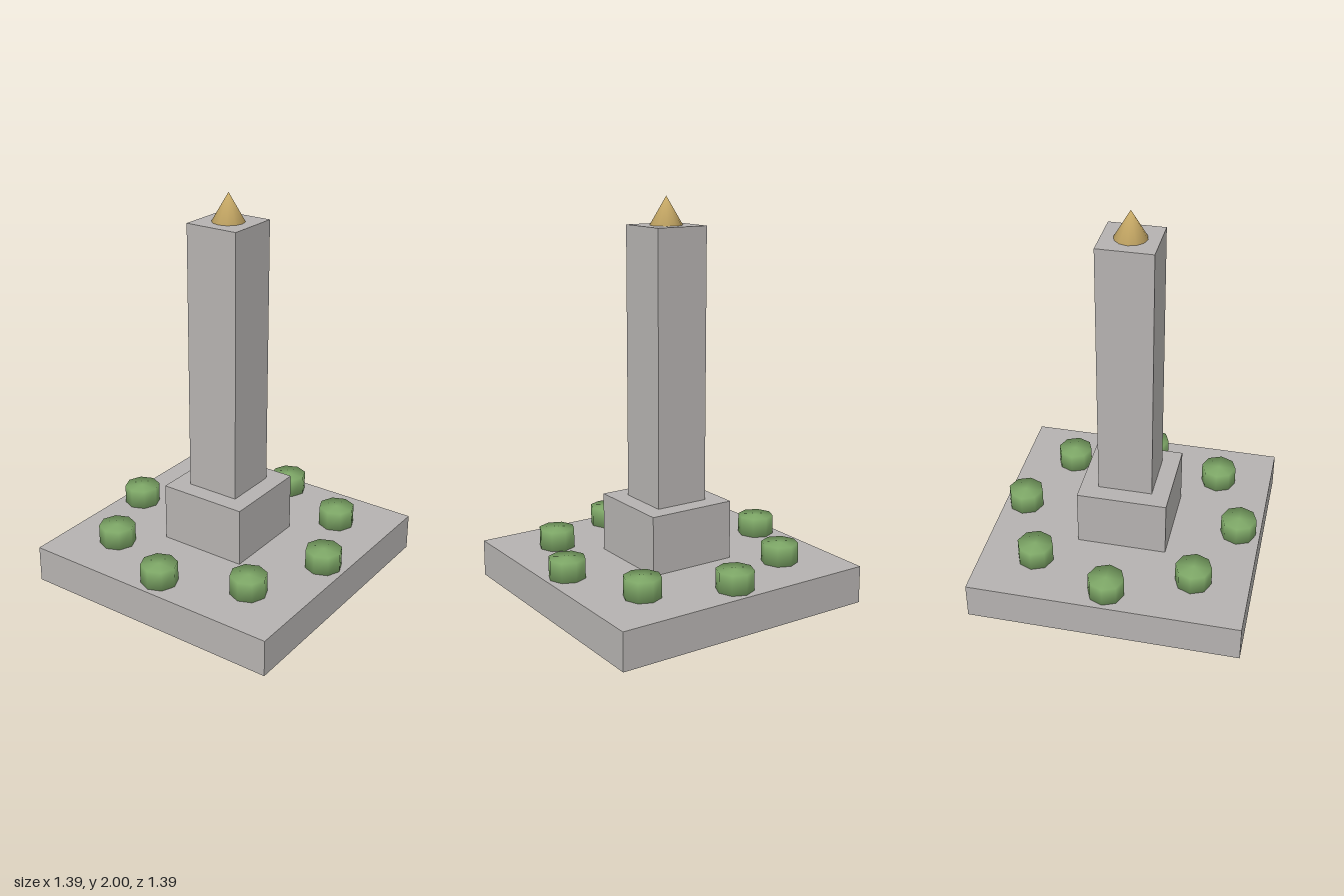
import * as THREE from 'three';
import { mergeVertices } from 'three/addons/utils/BufferGeometryUtils.js';

const material = (name, color) => {
  const m = new THREE.MeshStandardMaterial({ color });
  m.name = name;
  return m;
};

// Share normals across every edge for a soft, rounded shade
function softened(geometry) {
  geometry.deleteAttribute('uv');
  geometry.deleteAttribute('normal');
  const merged = mergeVertices(geometry);
  merged.computeVertexNormals();
  return merged;
}

export function createModel() {
  const group = new THREE.Group();
  group.name = 'monument';
  const stone = material('stone', 0xb5b2b0);
  const leaf = material('leaf green', 0x7fa968);
  const gold = material('gold', 0xcfb06a);

  const add = (name, geometry, mat, x, y, z) => {
    const mesh = new THREE.Mesh(geometry, mat);
    mesh.name = name;
    mesh.position.set(x, y, z);
    group.add(mesh);
  };

  // Square stone blocks: width, bottom and top
  const block = (name, width, y0, y1) =>
    add(name, new THREE.BoxGeometry(width, y1 - y0, width), stone, 0, (y0 + y1) / 2, 0);
  block('base', 1.39, 0, 0.19);
  block('pedestal', 0.463, 0.19, 0.49);
  block('shaft', 0.28, 0.49, 1.86);

  // Gilded tip
  add('tip', softened(new THREE.ConeGeometry(0.081, 0.14, 12)), gold, 0, 1.93, 0);

  // Ring of eight-sided bushes
  const bush = softened(new THREE.CylinderGeometry(0.093, 0.093, 0.1, 8));
  for (let i = 0; i < 8; i++) {
    const a = (i * Math.PI) / 4;
    add('bush', bush, leaf, Math.cos(a) * 0.58, 0.24, Math.sin(a) * 0.58);
  }
  return group;
}
